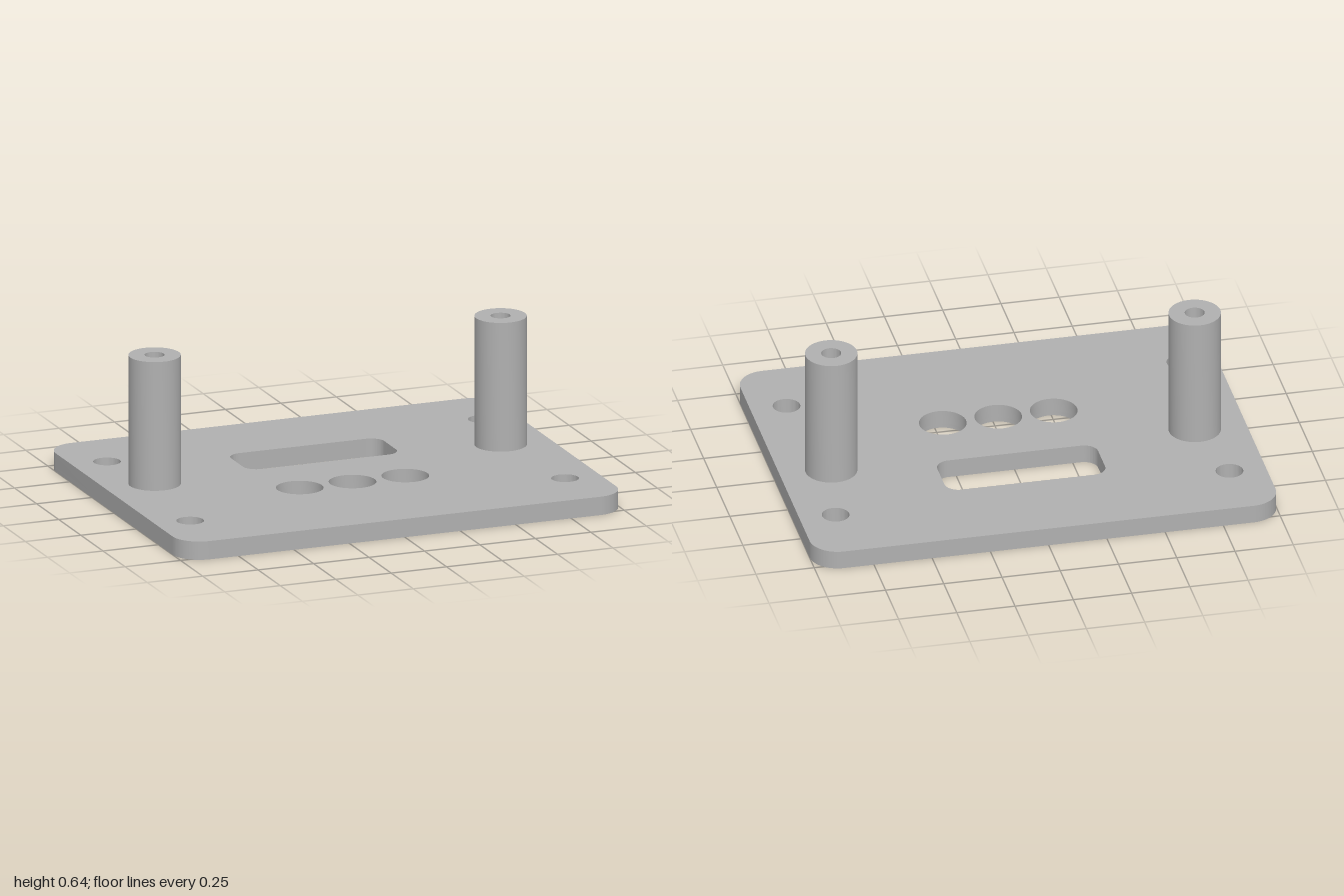
import * as THREE from 'three';
import { toCreasedNormals } from 'three/addons/utils/BufferGeometryUtils.js';

const HALF_X = 1, HALF_Z = 0.78, THICK = 0.08, GROOVE = 0.02, POST_TOP = 0.642;
const CREASE = Math.PI / 6;

// Trace a rounded rectangle, centred on (cx, cy), into a shape or path
function roundedRect(path, cx, cy, hw, hh, r) {
  const q = Math.PI / 2;
  path.moveTo(cx - hw + r, cy - hh);
  path.absarc(cx + hw - r, cy - hh + r, r, -q, 0);
  path.absarc(cx + hw - r, cy + hh - r, r, 0, q);
  path.absarc(cx - hw + r, cy + hh - r, r, q, 2 * q);
  path.absarc(cx - hw + r, cy - hh + r, r, 2 * q, 3 * q);
  path.closePath();
  return path;
}

function circle(x, y, r) {
  return new THREE.Path().absarc(x, y, r, 0, Math.PI * 2, true);
}

function rect(cx, cy, hw, hh) {
  return new THREE.Path([[-1, -1], [-1, 1], [1, 1], [1, -1]]
    .map(([u, v]) => new THREE.Vector2(cx + u * hw, cy + v * hh)));
}

// Plate outline with the slot, button holes and screw holes (shape y = world z)
function plateShape() {
  const shape = roundedRect(new THREE.Shape(), 0, 0, HALF_X, HALF_Z, 0.12);
  shape.holes.push(roundedRect(new THREE.Path(), 0, -0.253, 0.345, 0.126, 0.06));
  for (const x of [-0.238, 0, 0.238]) shape.holes.push(circle(x, 0.187, 0.1));
  for (const x of [-0.845, 0.845])
    for (const z of [-0.47, 0.47]) shape.holes.push(circle(x, z, 0.058));
  return shape;
}

// Extrude a flat shape downwards from the given top height
function layer(shape, top, depth) {
  const geo = new THREE.ExtrudeGeometry(shape, { depth, bevelEnabled: false, curveSegments: 24 });
  geo.rotateX(Math.PI / 2).translate(0, top, 0);
  return toCreasedNormals(geo, CREASE);
}

export function createModel() {
  const group = new THREE.Group();
  group.name = 'panelWithPosts';
  const grey = new THREE.MeshStandardMaterial({ name: 'grey', color: 0xb0b0b0 });

  const add = (name, geometry) => {
    const mesh = new THREE.Mesh(geometry, grey);
    mesh.name = name;
    group.add(mesh);
    return mesh;
  };

  // Main plate
  add('plate', layer(plateShape(), THICK, THICK - GROOVE));

  // Underside skin, cut by one, two and three tally grooves behind the holes
  const skin = plateShape();
  [-0.238, 0, 0.238].forEach((x, i) => {
    for (let k = 0; k <= i; k++)
      skin.holes.push(rect(x + (k - i / 2) * 0.045, 0.463, 0.008, 0.05));
  });
  add('groovedUnderside', layer(skin, GROOVE, GROOVE));

  // Standing posts with a blind screw bore in the top
  const h = POST_TOP - THICK, bore = 0.4;
  const profile = [[0.11, 0], [0.11, h], [0.042, h], [0.042, h - bore], [0, h - bore]]
    .map(([r, y]) => new THREE.Vector2(r, y));
  const postGeo = toCreasedNormals(new THREE.LatheGeometry(profile, 48), CREASE);
  for (const [name, x] of [['leftPost', 0.78], ['rightPost', -0.78]])
    add(name, postGeo).position.set(x, THICK, -0.095);

  return group;
}
